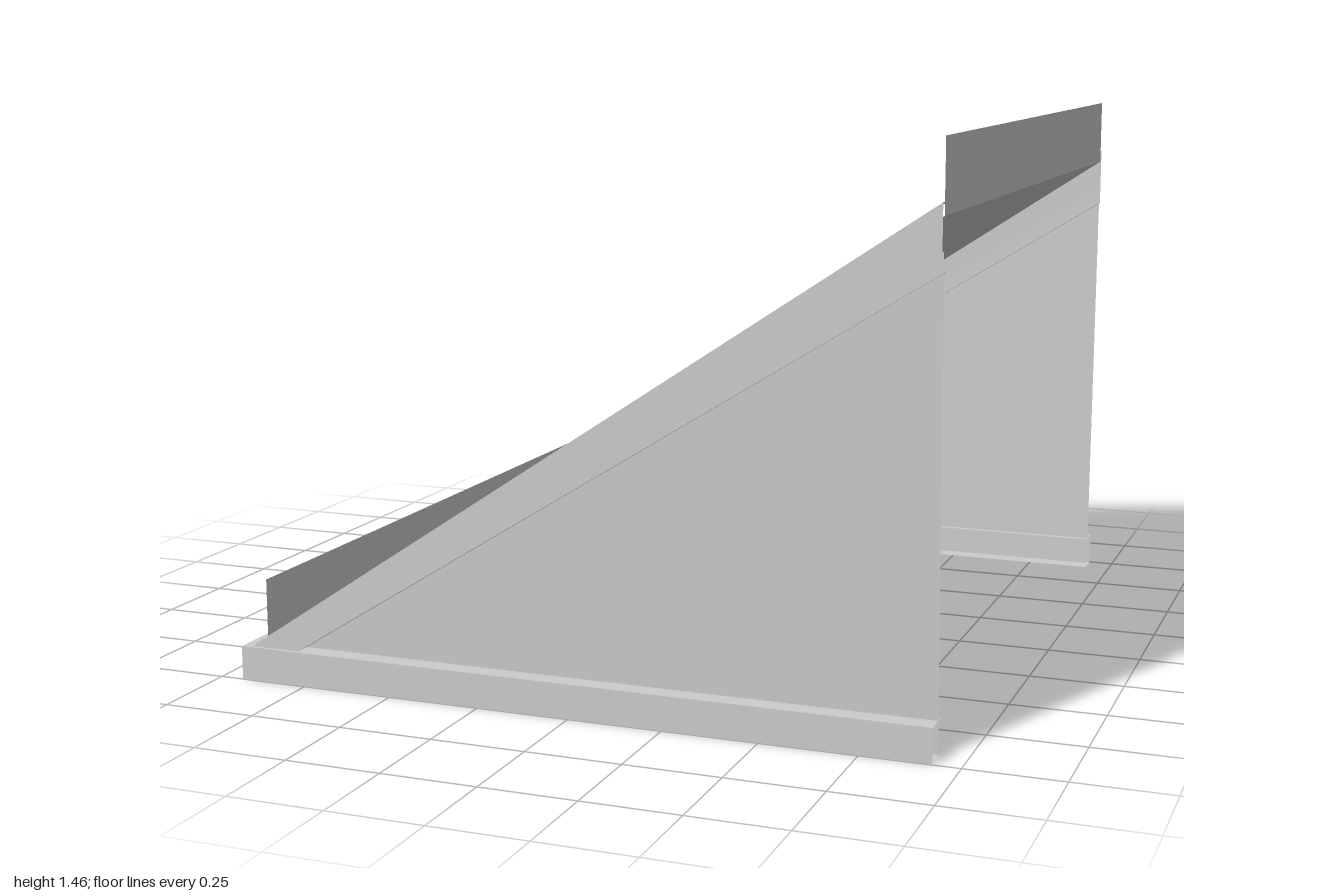
import * as THREE from 'three';

const material = new THREE.MeshStandardMaterial({ color: 0xcccccc, side: THREE.DoubleSide, flatShading: true });

// Thin sheet from a convex loop of corner points
function sheet(name, pts) {
  const g = new THREE.BufferGeometry();
  g.setAttribute('position', new THREE.Float32BufferAttribute(pts.flat(), 3));
  const index = [];
  for (let i = 1; i < pts.length - 1; i++) index.push(0, i, i + 1);
  g.setIndex(index);
  const flat = g.toNonIndexed();
  flat.computeVertexNormals();
  const mesh = new THREE.Mesh(flat, material);
  mesh.name = name;
  return mesh;
}

// Sheet-metal channel: a section of points swept straight from one end to the other
function channel(name, startSection, endSection) {
  const group = new THREE.Group();
  group.name = name;
  const parts = ['topFlange', 'web', 'bottomFlange'];
  for (let i = 0; i < 3; i++) {
    group.add(sheet(parts[i], [startSection[i], endSection[i], endSection[i + 1], startSection[i + 1]]));
  }
  return group;
}

export function createModel() {
  const model = new THREE.Group();
  model.name = 'ramp';
  const front = -0.935, back = 0.93, railTop = 0.09;
  const deckLow = [-0.87, 0.09], deckHigh = [0.93, 1.28], deckZ = 0.975, lipHeight = 0.18;

  for (const s of [1, -1]) {
    const side = s > 0 ? 'front' : 'rear';

    // Base rail, a channel open towards the middle
    const rail = x => [[x, railTop, s * 0.93], [x, railTop, s], [x, 0, s], [x, 0, s * 0.93]];
    model.add(channel(side + 'BaseRail', rail(front), rail(back)));

    // Sloping beam, its foot tucked into the base rail
    const beam = (x, top, bottom) =>
      [[x, top, s * 0.93], [x, top, s * 0.99], [x, bottom, s * 0.99], [x, bottom, s * 0.93]];
    model.add(channel(side + 'SlopingBeam', beam(-0.9, 0.096, 0.01), beam(back, 1.312, 1.15)));

    // Triangular side panel, leaning slightly outwards at the top
    const lean = y => s * (0.945 + 0.025 * y);
    model.add(sheet(side + 'SidePanel',
      [[-0.89, 0.01], [back, 0.01], [back, 1.2], [-0.89, 0.04]].map(([x, y]) => [x, y, lean(y)])));
  }

  // Cross rail joining the base rails at the low end
  const cross = z => [[-0.87, railTop, z], [front, railTop, z], [front, 0, z], [-0.87, 0, z]];
  model.add(channel('crossRail', cross(-1), cross(1)));

  // Sloping deck with an upright lip at each end
  model.add(sheet('deck', [
    [...deckLow, deckZ], [...deckHigh, deckZ], [...deckHigh, -deckZ], [...deckLow, -deckZ]]));
  for (const [name, [x, y]] of [['lowerLip', deckLow], ['upperLip', deckHigh]]) {
    model.add(sheet(name, [
      [x, y, deckZ], [x, y, -deckZ], [x, y + lipHeight, -deckZ], [x, y + lipHeight, deckZ]]));
  }
  return model;
}
